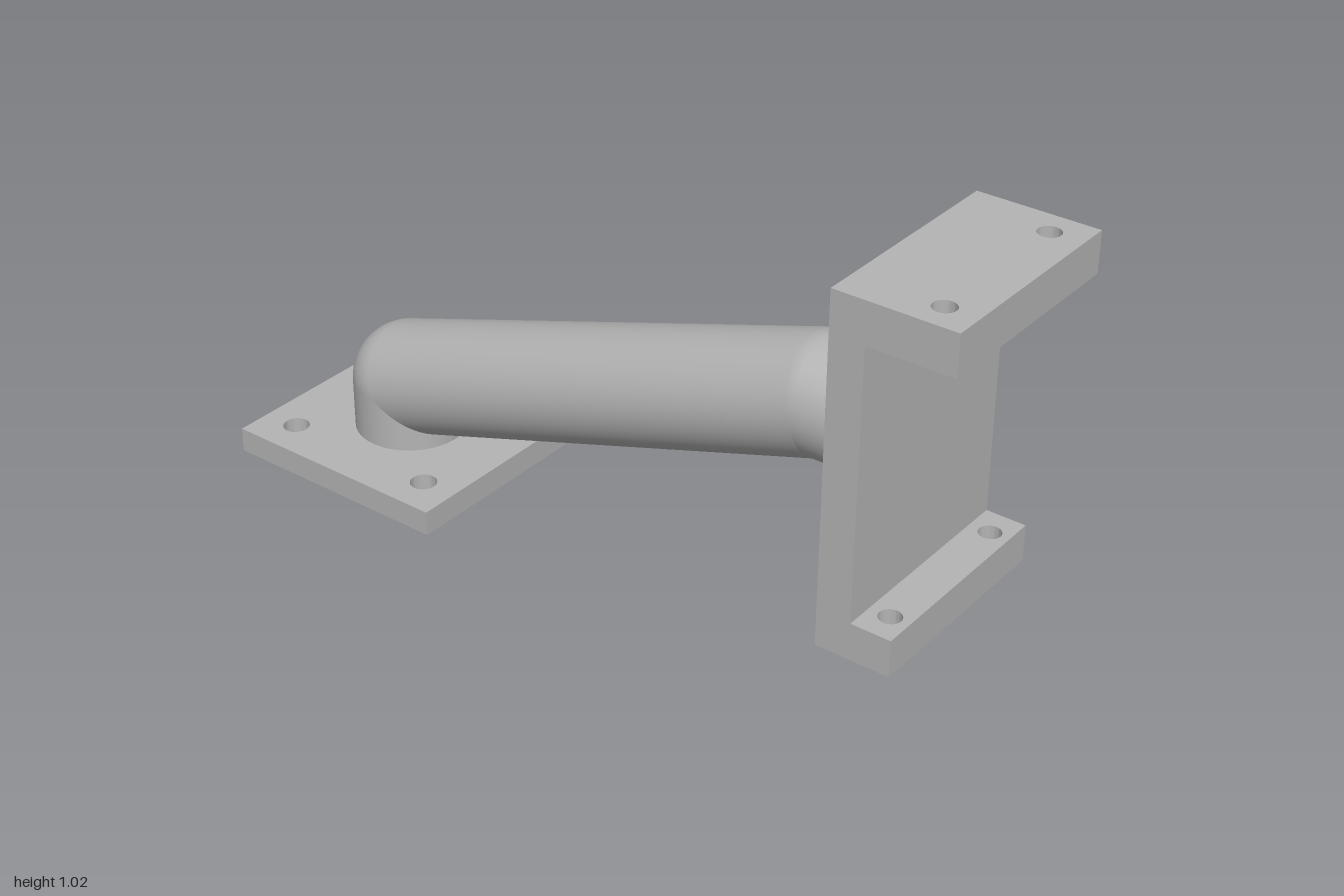
import * as THREE from 'three';
import { toCreasedNormals } from 'three/addons/utils/BufferGeometryUtils.js';

const PIPE_R = 0.142;

export function createModel() {
  const model = new THREE.Group();
  model.name = 'bracketStand';
  const steel = new THREE.MeshStandardMaterial({ color: 0xb4b4b4 });
  steel.name = 'grey steel';

  function add(name, geometry, parent = model) {
    const mesh = new THREE.Mesh(geometry, steel);
    mesh.name = name;
    parent.add(mesh);
    return mesh;
  }

  // Horizontal plate with round bolt holes at the given x, mirrored in z
  function drilledPlate(name, x0, x1, y0, y1, halfZ, holeXs, holeZ, holeR, parent) {
    const shape = new THREE.Shape();
    shape.moveTo(x0, -halfZ).lineTo(x1, -halfZ).lineTo(x1, halfZ).lineTo(x0, halfZ).closePath();
    for (const x of holeXs) {
      for (const side of [-1, 1]) {
        shape.holes.push(new THREE.Path().absarc(x, side * holeZ, holeR, 0, Math.PI * 2, true));
      }
    }
    const plate = new THREE.ExtrudeGeometry(shape, { depth: y1 - y0, bevelEnabled: false, curveSegments: 16 });
    plate.rotateX(-Math.PI / 2).translate(0, y0, 0);
    return add(name, toCreasedNormals(plate, 0.6), parent);
  }

  // Straight pipe between two points
  function pipe(name, a, b, parent) {
    const dir = b.clone().sub(a);
    const mesh = add(name, new THREE.CylinderGeometry(PIPE_R, PIPE_R, dir.length(), 64), parent);
    mesh.position.copy(a).add(b).multiplyScalar(0.5);
    mesh.quaternion.setFromUnitVectors(new THREE.Vector3(0, 1, 0), dir.normalize());
  }

  // Foot plate
  drilledPlate('basePlate', -1, -0.385, 0.007, 0.07, 0.291, [-0.905, -0.48], 0.195, 0.033);

  // Pipe run: upright stub, sloping arm, short level stub, with ball elbows
  const arm = new THREE.Group();
  arm.name = 'pipeArm';
  model.add(arm);
  const foot = new THREE.Vector3(-0.692, 0, 0);
  const lowerBend = new THREE.Vector3(-0.692, 0.2, 0);
  const upperBend = new THREE.Vector3(0.53, 0.597, 0);
  const end = new THREE.Vector3(0.71, 0.597, 0);
  pipe('uprightPipe', foot, lowerBend, arm);
  pipe('slopingPipe', lowerBend, upperBend, arm);
  pipe('levelPipe', upperBend, end, arm);
  for (const [name, at] of [['lowerElbow', lowerBend], ['upperElbow', upperBend]]) {
    add(name, new THREE.SphereGeometry(PIPE_R, 64, 32), arm).position.copy(at);
  }

  // Channel bracket: upright web with a long top and short bottom flange
  const bracket = new THREE.Group();
  bracket.name = 'channelBracket';
  model.add(bracket);
  add('web', new THREE.BoxGeometry(0.085, 0.855, 0.544), bracket).position.set(0.7475, 0.5975, 0);
  drilledPlate('topFlange', 0.79, 1, 0.925, 1.025, 0.272, [0.92], 0.2, 0.027, bracket);
  drilledPlate('bottomFlange', 0.79, 0.89, 0.17, 0.262, 0.272, [0.842], 0.2, 0.027, bracket);

  return model;
}
